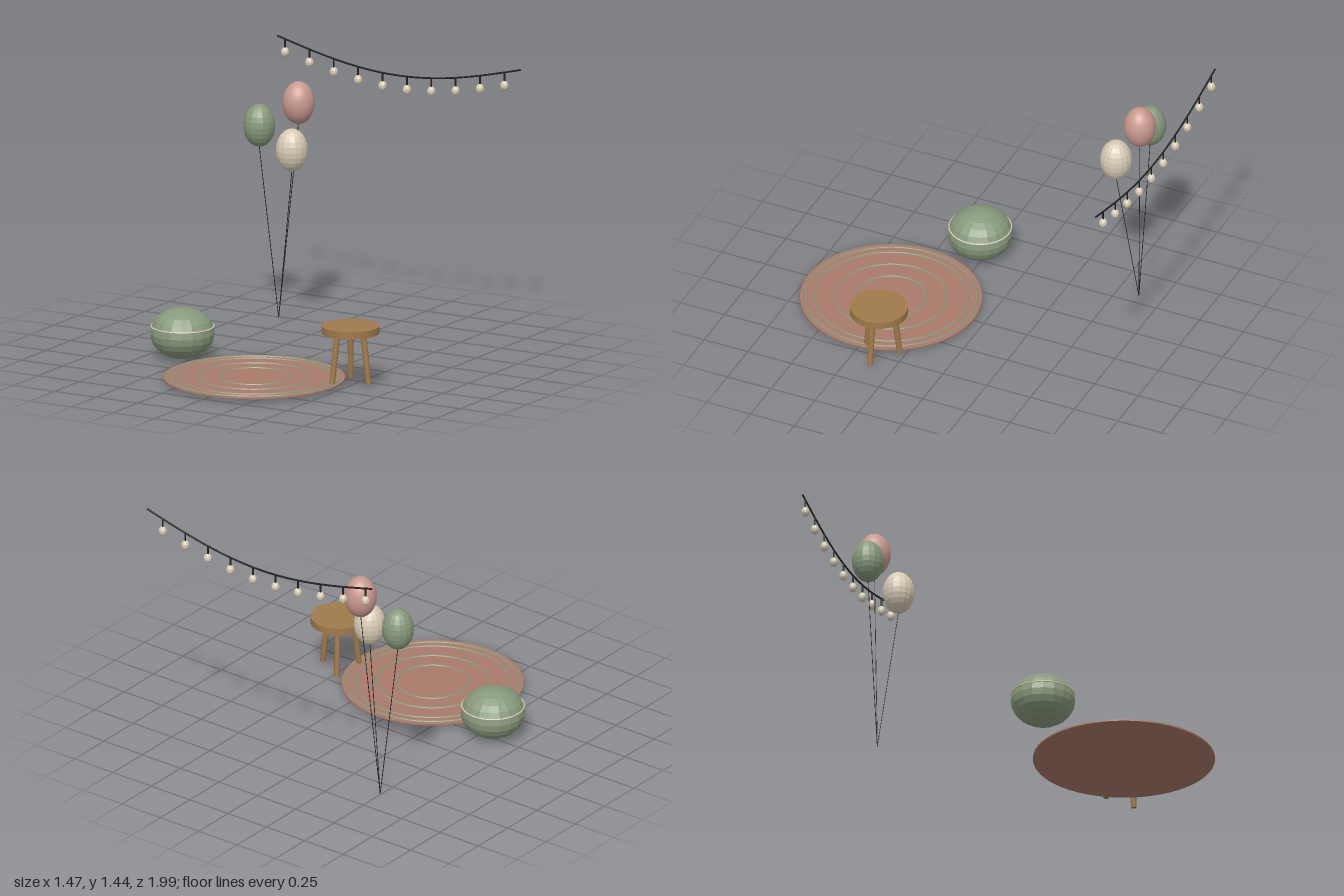
import * as THREE from 'three';

const mat = (name, color, flatShading = false) => {
  const m = new THREE.MeshStandardMaterial({ color, flatShading });
  m.name = name;
  return m;
};

export function createModel() {
  const sage = mat('sage', 0x87997c, true);
  const pink = mat('dusty pink', 0xc9998f);
  const cream = mat('cream', 0xd8cbb5, true);
  const clay = mat('clay', 0xa87a6a);
  const wood = mat('wood', 0xa07a4a);
  const dark = mat('dark cord', 0x222222);

  const root = new THREE.Group();
  const group = (name) => {
    const g = new THREE.Group();
    g.name = name;
    root.add(g);
    return g;
  };
  const add = (parent, name, geo, material, x = 0, y = 0, z = 0) => {
    const m = new THREE.Mesh(geo, material);
    m.name = name;
    m.position.set(x, y, z);
    parent.add(m);
    return m;
  };
  // Straight round bar between two points
  const bar = (parent, name, a, b, rTop, rBottom, sides, material) => {
    const dir = new THREE.Vector3().subVectors(a, b);
    const m = add(parent, name, new THREE.CylinderGeometry(rTop, rBottom, dir.length(), sides), material);
    m.position.addVectors(a, b).multiplyScalar(0.5);
    m.quaternion.setFromUnitVectors(new THREE.Vector3(0, 1, 0), dir.normalize());
    return m;
  };
  const V = (x, y, z) => new THREE.Vector3(x, y, z);

  // Round rug with raised braided rings
  const rug = group('rug');
  rug.position.set(0.02, 0, 0.522);
  add(rug, 'rugDisc', new THREE.CylinderGeometry(0.472, 0.472, 0.008, 64), clay, 0, 0.02, 0);
  for (const r of [0.185, 0.291, 0.398, 0.443]) {
    const ring = new THREE.TorusGeometry(r, 0.005, 6, 64).rotateX(Math.PI / 2);
    add(rug, 'rugRing', ring, sage, 0, 0.024, 0);
  }

  // Pouf with a piped seam
  const pouf = group('pouf');
  pouf.position.set(-0.557, 0.134, 0.282);
  add(pouf, 'poufBody', new THREE.SphereGeometry(0.168, 18, 12).scale(1, 0.8, 1), sage);
  add(pouf, 'poufPiping', new THREE.TorusGeometry(0.162, 0.004, 6, 40).rotateX(Math.PI / 2), cream, 0, 0.037, 0);

  // Three-legged stool
  const stool = group('stool');
  stool.position.set(0.506, 0, 0.364);
  add(stool, 'seat', new THREE.CylinderGeometry(0.151, 0.151, 0.038, 32), wood, 0, 0.304, 0);
  for (let i = 0; i < 3; i++) {
    const a = (i * Math.PI * 2) / 3;
    const c = Math.cos(a), s = Math.sin(a);
    bar(stool, 'leg', V(0.077 * c, 0.29, 0.077 * s), V(0.109 * c, 0.025, 0.109 * s), 0.016, 0.015, 12, wood);
  }

  // Balloons on strings that meet near the floor
  const balloons = group('balloons');
  const knot = V(-0.526, 0.028, -0.64);
  const list = [
    ['green', -0.648, 1.036, -0.648, sage, 16, 12],
    ['pink', -0.435, 1.174, -0.688, pink, 24, 16],
    ['cream', -0.403, 0.951, -0.567, cream, 16, 12],
  ];
  for (const [name, x, y, z, material, w, h] of list) {
    add(balloons, name + 'Balloon', new THREE.SphereGeometry(0.084, w, h).scale(1, 1.35, 1), material, x, y, z);
    bar(balloons, name + 'String', V(x, y - 0.11, z), knot, 0.002, 0.002, 6, dark);
  }

  // Sagging string of lights
  const lights = group('stringLights');
  lights.position.z = -0.978;
  const sag = (t) => V(-0.735 + 1.47 * t, 1.434 - 0.122 * Math.sin(Math.PI * t), 0);
  const points = Array.from({ length: 17 }, (_, i) => sag(i / 16));
  add(lights, 'wire', new THREE.TubeGeometry(new THREE.CatmullRomCurve3(points), 48, 0.005, 6), dark);
  for (let i = 0; i < 10; i++) {
    const p = sag(0.031 + i * 0.1);
    add(lights, 'socket', new THREE.CylinderGeometry(0.005, 0.005, 0.05, 6), dark, p.x, p.y - 0.025, 0);
    add(lights, 'bulb', new THREE.SphereGeometry(0.022, 10, 8).scale(1, 1.2, 1), cream, p.x, p.y - 0.07, 0);
  }

  return root;
}
